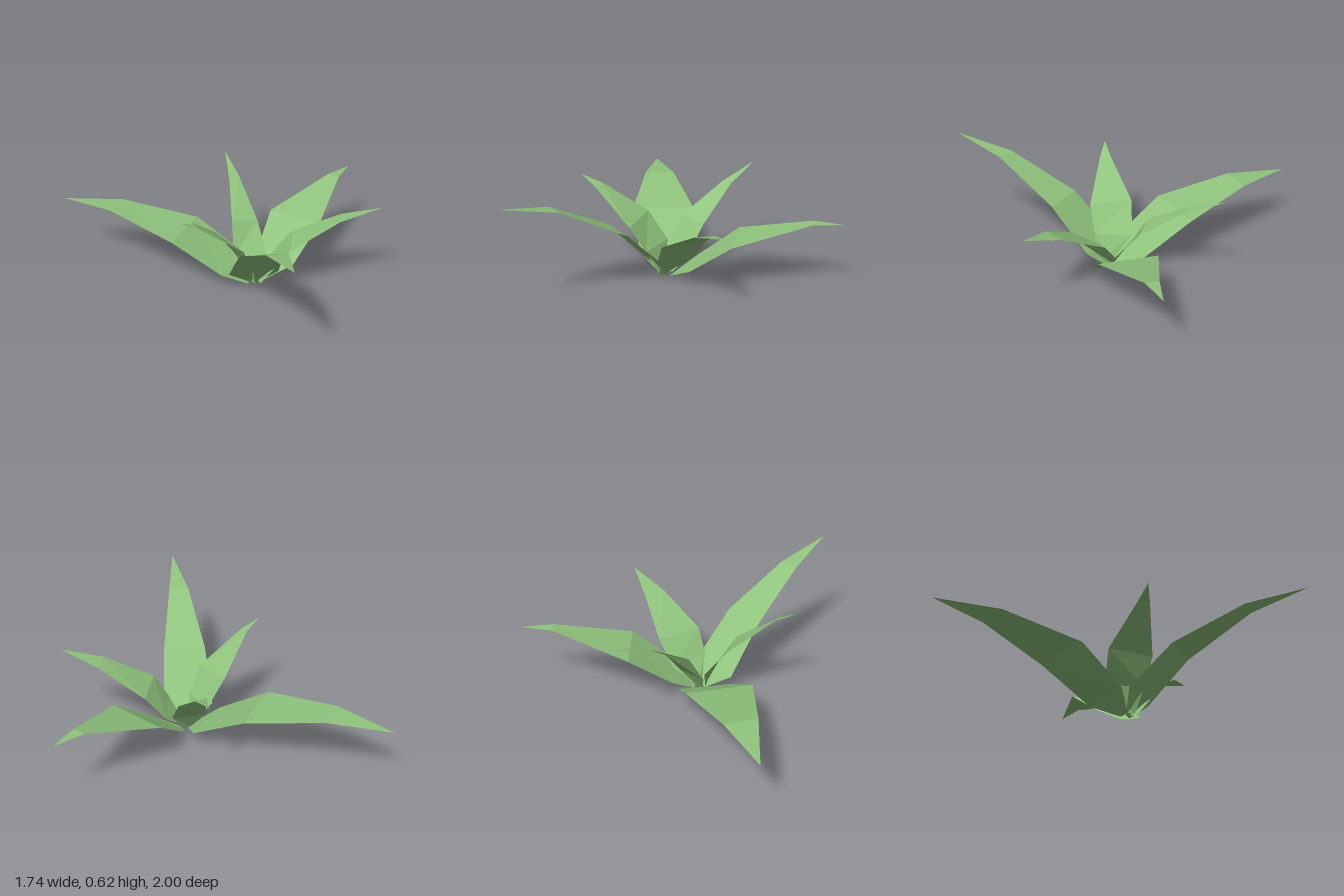
import * as THREE from 'three';

// Each leaf: rows of [left point, right point] from root outwards, then a single tip.
const LEAVES = {
  backRightLeaf: {
    rows: [
      [[-0.14, 0, -0.01], [-0.09, 0, -0.05]],
      [[-0.30, 0.085, -0.04], [-0.04, 0.085, -0.23]],
      [[-0.51, 0.26, -0.25], [-0.22, 0.26, -0.49]],
      [[-0.715, 0.35, -0.66], [-0.575, 0.345, -0.78]],
    ],
    tip: [-0.87, 0.335, -1],
  },
  backLeaf: {
    rows: [
      [[-0.11, 0.01, -0.05], [-0.06, 0.01, -0.04]],
      [[-0.16, 0.13, -0.14], [0.025, 0.11, -0.07]],
      [[-0.115, 0.31, -0.24], [0.045, 0.28, -0.21]],
      [[0, 0.47, -0.48], [0.068, 0.47, -0.475]],
    ],
    tip: [0.09, 0.56, -0.70],
  },
  backLeftLeaf: {
    rows: [
      [[-0.06, 0, -0.06], [-0.05, 0, 0]],
      [[0.02, 0.088, -0.19], [0.13, 0.088, 0.06]],
      [[0.215, 0.26, -0.345], [0.365, 0.26, -0.025]],
      [[0.675, 0.38, -0.405], [0.71, 0.38, -0.335]],
    ],
    tip: [0.865, 0.38, -0.45],
  },
  frontLeftLeaf: {
    rows: [
      [[-0.08, 0.01, -0.03], [-0.08, 0.01, 0.04]],
      [[0.065, 0.12, -0.085], [-0.04, 0.14, 0.13]],
      [[0.18, 0.26, -0.035], [0.03, 0.26, 0.19]],
      [[0.385, 0.405, 0.175], [0.31, 0.41, 0.275]],
    ],
    tip: [0.55, 0.475, 0.35],
  },
  frontLeaf: {
    rows: [
      [[-0.06, 0, 0.0], [-0.115, 0, -0.02]],
      [[0, 0.1, 0.105], [-0.27, 0.1, 0]],
      [[-0.10, 0.345, 0.335], [-0.33, 0.345, 0.24]],
      [[-0.29, 0.55, 0.69], [-0.40, 0.55, 0.645]],
    ],
    tip: [-0.445, 0.625, 0.995],
  },
  rightLeaf: {
    rows: [
      [[-0.11, 0.01, 0.03], [-0.12, 0.01, -0.03]],
      [[-0.16, 0.15, 0.085], [-0.165, 0.165, -0.14]],
      [[-0.245, 0.30, 0.13], [-0.29, 0.33, -0.115]],
      [[-0.51, 0.50, 0.115], [-0.51, 0.51, 0.05]],
    ],
    tip: [-0.625, 0.557, 0.105],
  },
};

// Flat-faceted ribbon joining consecutive rows and closing in the tip
function leafGeometry({ rows, tip }) {
  const pos = [];
  rows.forEach(([l, r], i) => {
    if (i === rows.length - 1) {
      pos.push(...l, ...r, ...tip);
    } else {
      const [nl, nr] = rows[i + 1];
      pos.push(...l, ...r, ...nr, ...l, ...nr, ...nl);
    }
  });
  const geometry = new THREE.BufferGeometry();
  geometry.setAttribute('position', new THREE.Float32BufferAttribute(pos, 3));
  geometry.computeVertexNormals();
  return geometry;
}

export function createModel() {
  const plant = new THREE.Group();
  plant.name = 'plant';
  const leafGreen = new THREE.MeshStandardMaterial({ color: 0x90c47d, side: THREE.DoubleSide });
  leafGreen.name = 'leaf green';

  for (const [name, leaf] of Object.entries(LEAVES)) {
    const mesh = new THREE.Mesh(leafGeometry(leaf), leafGreen);
    mesh.name = name;
    plant.add(mesh);
  }
  return plant;
}
